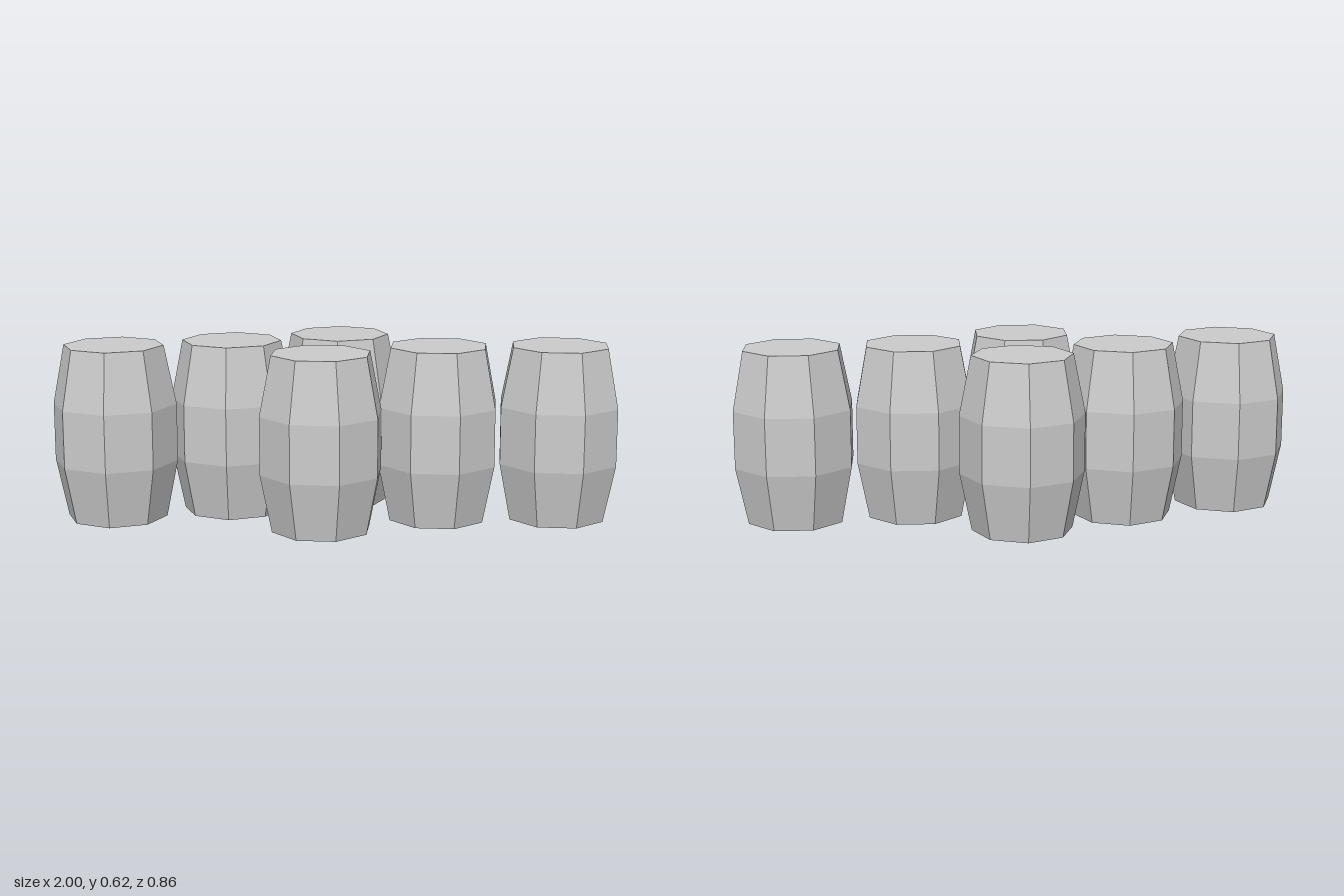
import * as THREE from 'three';

// Octagonal barrel outline: radius, height
const PROFILE = [[0, 0], [0.179, 0], [0.2215, 0.207], [0.2215, 0.413], [0.179, 0.625], [0, 0.625]];

// Barrel placement: x, z, turn in degrees
const BARRELS = [
  [-0.779, 0.147, 5],
  [-0.384, -0.013, 5],
  [-0.017, -0.21, 5],
  [-0.025, 0.224, 24.5],
  [0.366, 0.013, 24.5],
  [0.792, -0.053, 24.5],
];

export function createModel() {
  const group = new THREE.Group();
  group.name = 'barrels';
  const material = new THREE.MeshStandardMaterial({ color: 0xcccccc, flatShading: true });

  // Eight-sided body with flat lid and base, one normal per face
  const points = PROFILE.map(([r, y]) => new THREE.Vector2(r, y));
  const geometry = new THREE.LatheGeometry(points, 8).toNonIndexed();
  geometry.computeVertexNormals();

  BARRELS.forEach(([x, z, turn], i) => {
    const barrel = new THREE.Mesh(geometry, material);
    barrel.name = `barrel${i + 1}`;
    barrel.position.set(x, 0, z);
    barrel.rotation.y = THREE.MathUtils.degToRad(turn);
    group.add(barrel);
  });
  return group;
}
